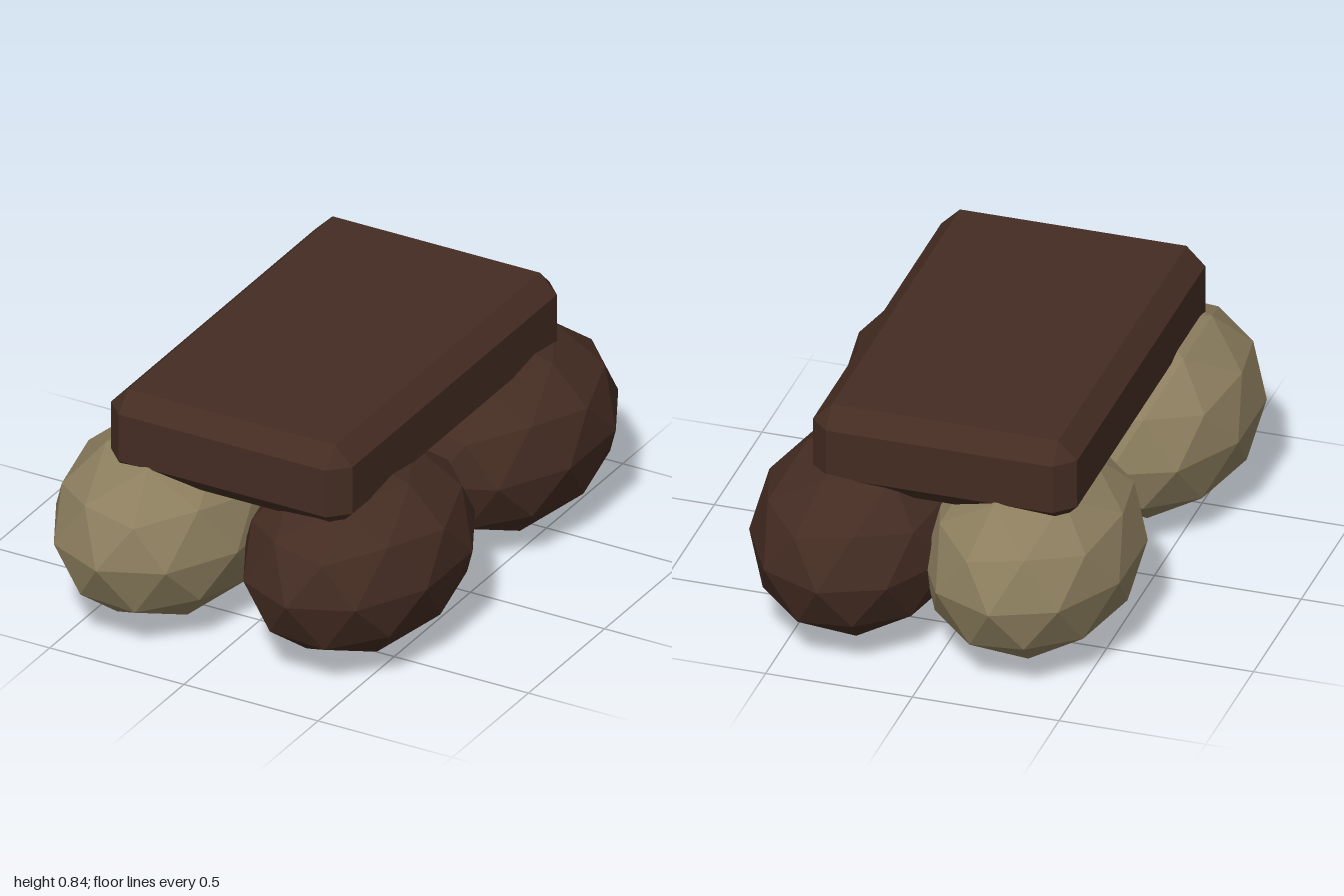
import * as THREE from 'three';
import { ConvexGeometry } from 'three/addons/geometries/ConvexGeometry.js';

// Box with one flat bevel on every edge and corner
function bevelledBox(w, h, d, b) {
  const points = [];
  for (const sx of [-1, 1]) for (const sy of [-1, 1]) for (const sz of [-1, 1]) {
    const x = w / 2, y = h / 2, z = d / 2;
    points.push(
      new THREE.Vector3(sx * x, sy * (y - b), sz * (z - b)),
      new THREE.Vector3(sx * (x - b), sy * y, sz * (z - b)),
      new THREE.Vector3(sx * (x - b), sy * (y - b), sz * z)
    );
  }
  return new ConvexGeometry(points);
}

// Faceted ball standing on a vertex, stretched along z
function facetedBoulder(rx, ry, rz) {
  const geometry = new THREE.IcosahedronGeometry(1, 1);
  geometry.rotateZ(-Math.atan(2 / (1 + Math.sqrt(5))));
  geometry.scale(rx, ry, rz);
  geometry.computeVertexNormals(); // unshared corners keep the facets flat
  return geometry;
}

export function createModel() {
  const model = new THREE.Group();
  const darkBrown = new THREE.MeshStandardMaterial({ color: 0x442c22 });
  darkBrown.name = 'dark brown';
  const khaki = new THREE.MeshStandardMaterial({ color: 0x8c7e5e });
  khaki.name = 'khaki';

  const add = (name, geometry, material, x, y, z) => {
    const mesh = new THREE.Mesh(geometry, material);
    mesh.name = name;
    mesh.position.set(x, y, z);
    model.add(mesh);
  };

  // Slab resting on the boulders
  add('slab', bevelledBox(0.9, 0.3, 1.47, 0.064), darkBrown, 0, 0.69, 0.015);

  // Four boulders, dark on the left and pale on the right
  const boulder = facetedBoulder(0.355, 0.328, 0.486);
  add('frontLeftBoulder', boulder, darkBrown, 0.328, 0.33, 0.427);
  add('backLeftBoulder', boulder, darkBrown, 0.328, 0.33, -0.513);
  add('frontRightBoulder', boulder, khaki, -0.33, 0.33, 0.512);
  add('backRightBoulder', boulder, khaki, -0.248, 0.33, -0.483);

  return model;
}
